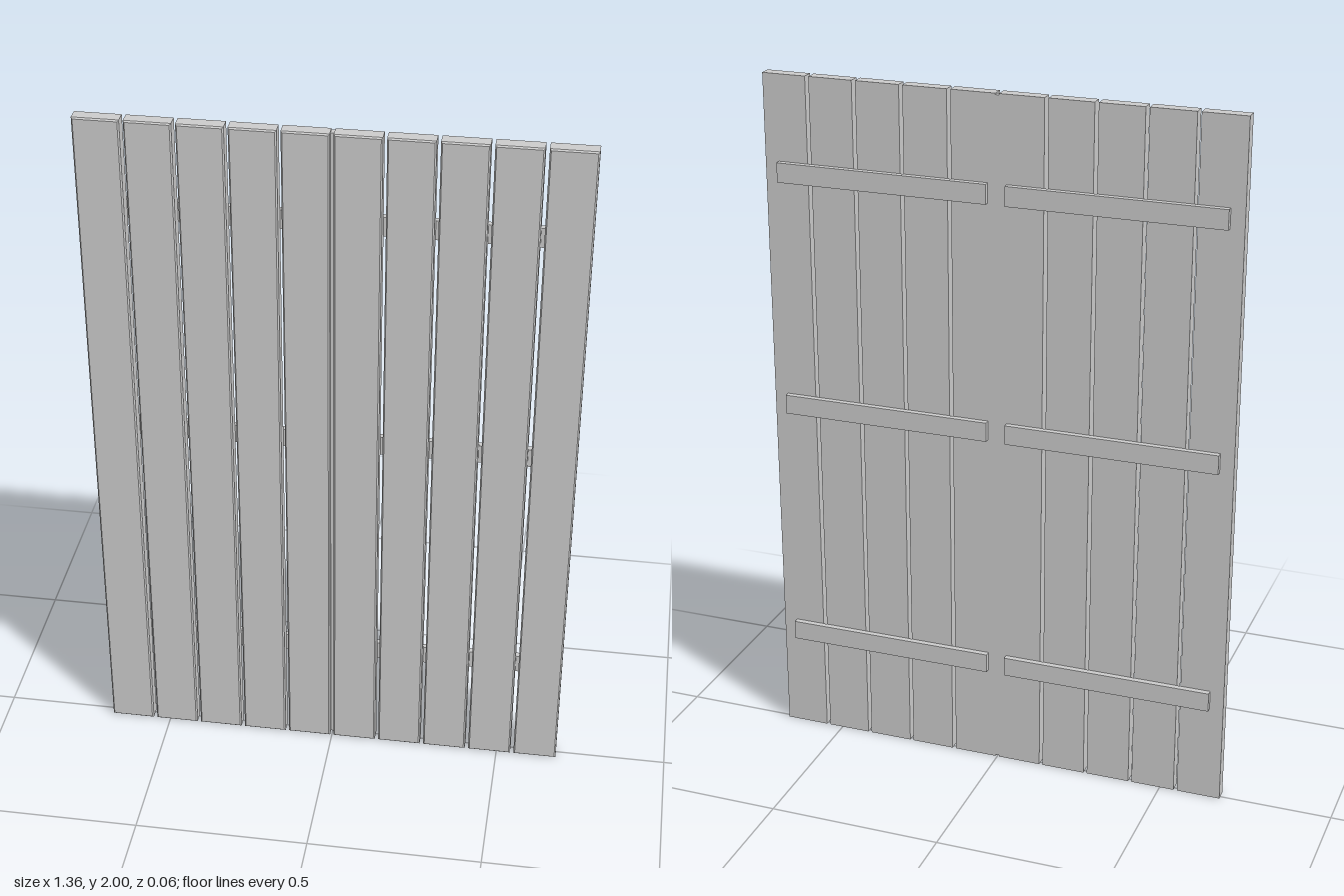
import * as THREE from 'three';

const grey = new THREE.MeshStandardMaterial({ color: 0xcccccc, flatShading: true });

const HEIGHT = 2, PLANK_W = 0.126, PITCH = 0.1366;
const FRONT = 0.028, PLANK_BACK = -0.011, BACK = -0.028;

// Box whose front face is chamfered all round
function chamferedBox(w, h, d, c) {
  const box = new THREE.BoxGeometry(w, h, d, 1, 1, 2);
  const p = box.attributes.position;
  for (let i = 0; i < p.count; i++) {
    const z = p.getZ(i);
    if (Math.abs(z) < 1e-6) p.setZ(i, d / 2 - c);
    else if (z > 0) {
      p.setX(i, p.getX(i) - Math.sign(p.getX(i)) * c);
      p.setY(i, p.getY(i) - Math.sign(p.getY(i)) * c);
    }
  }
  const flat = box.toNonIndexed();
  flat.computeVertexNormals();
  return flat;
}

function addMesh(parent, name, geometry, x, y, z) {
  const mesh = new THREE.Mesh(geometry, grey);
  mesh.name = name;
  mesh.position.set(x, y, z);
  parent.add(mesh);
}

export function createModel() {
  const model = new THREE.Group();
  model.name = 'plankDoublePanel';

  // Ten upright planks, separated by narrow gaps
  const plank = chamferedBox(PLANK_W, HEIGHT, FRONT - PLANK_BACK, 0.004);
  for (let i = 0; i < 10; i++) {
    addMesh(model, `plank${i + 1}`, plank, (i - 4.5) * PITCH, HEIGHT / 2, (FRONT + PLANK_BACK) / 2);
  }

  // Strip closing the middle gap, flush with the back of the planks
  const stripDepth = 0.02;
  addMesh(model, 'centreStrip', new THREE.BoxGeometry(PITCH - PLANK_W, HEIGHT - 0.008, stripDepth),
    0, HEIGHT / 2, PLANK_BACK + stripDepth / 2);

  // Three battens across the back of each half
  const batten = new THREE.BoxGeometry(0.611, 0.056, PLANK_BACK - BACK);
  for (const y of [0.315, 1.043, 1.728]) {
    for (const side of [-1, 1]) {
      addMesh(model, side > 0 ? 'leftBatten' : 'rightBatten', batten,
        side * 0.3325, y, (PLANK_BACK + BACK) / 2);
    }
  }
  return model;
}
